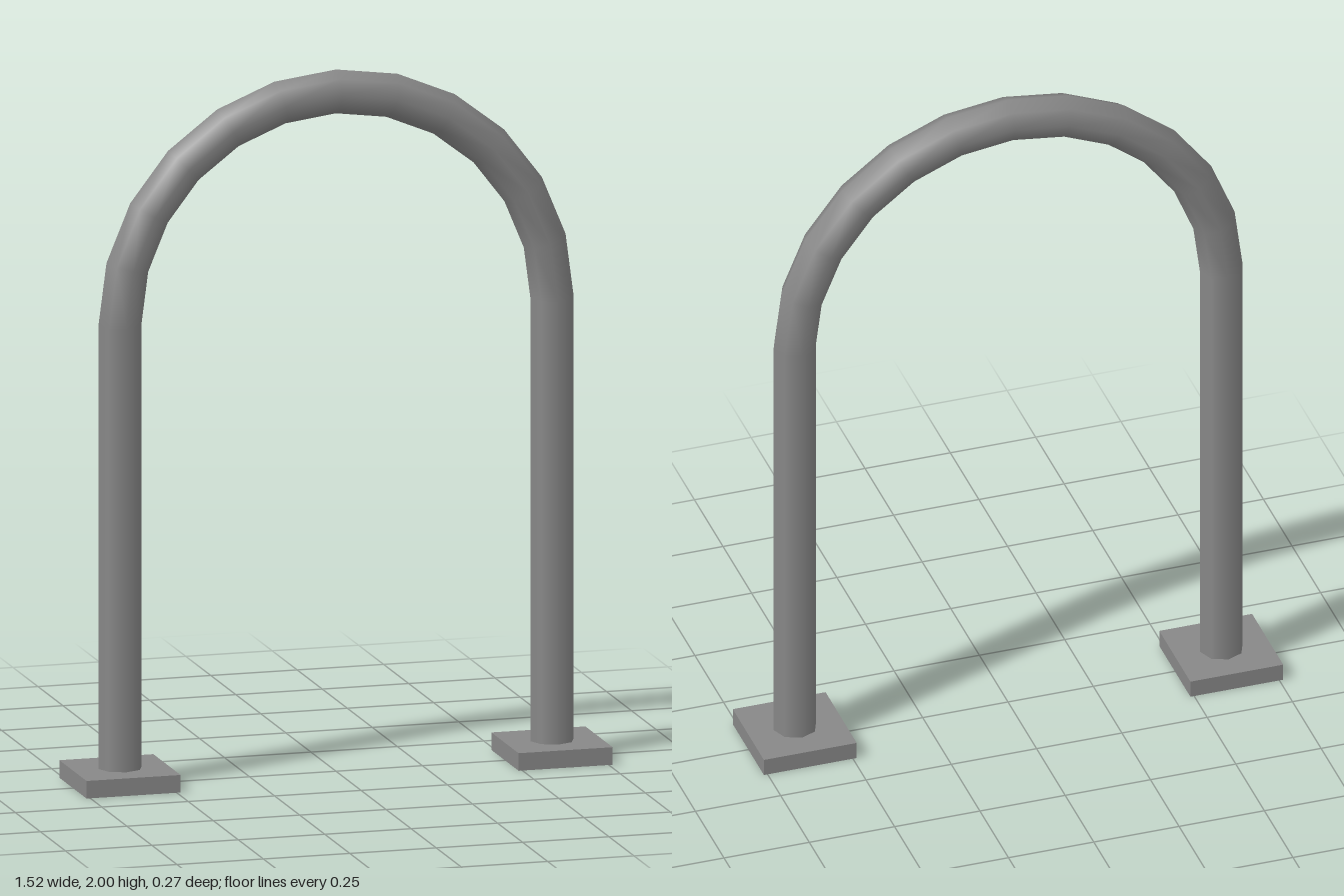
import * as THREE from 'three';

export function createModel() {
  const group = new THREE.Group();
  const material = new THREE.MeshStandardMaterial({ color: 0x888888 });
  const tube = 0.0625, radius = 0.625, sides = 8;
  const plateHeight = 0.05, plateWidth = 0.272;
  const springY = 2 - radius - tube;

  const add = (name, geometry, x, y) => {
    const mesh = new THREE.Mesh(geometry, material);
    mesh.name = name;
    mesh.position.set(x, y, 0);
    group.add(mesh);
  };

  // Half-ring bend joining the two legs
  add('arch', new THREE.TorusGeometry(radius, tube, sides, 12, Math.PI), 0, springY);

  // Straight legs, open where they meet the bend and the square floor plates
  const legHeight = springY - plateHeight;
  for (const [side, sign] of [['left', 1], ['right', -1]]) {
    const x = sign * radius;
    add(side + 'Leg', new THREE.CylinderGeometry(tube, tube, legHeight, sides, 1, true), x, plateHeight + legHeight / 2);
    add(side + 'BasePlate', new THREE.BoxGeometry(plateWidth, plateHeight, plateWidth), x, plateHeight / 2);
  }
  return group;
}
